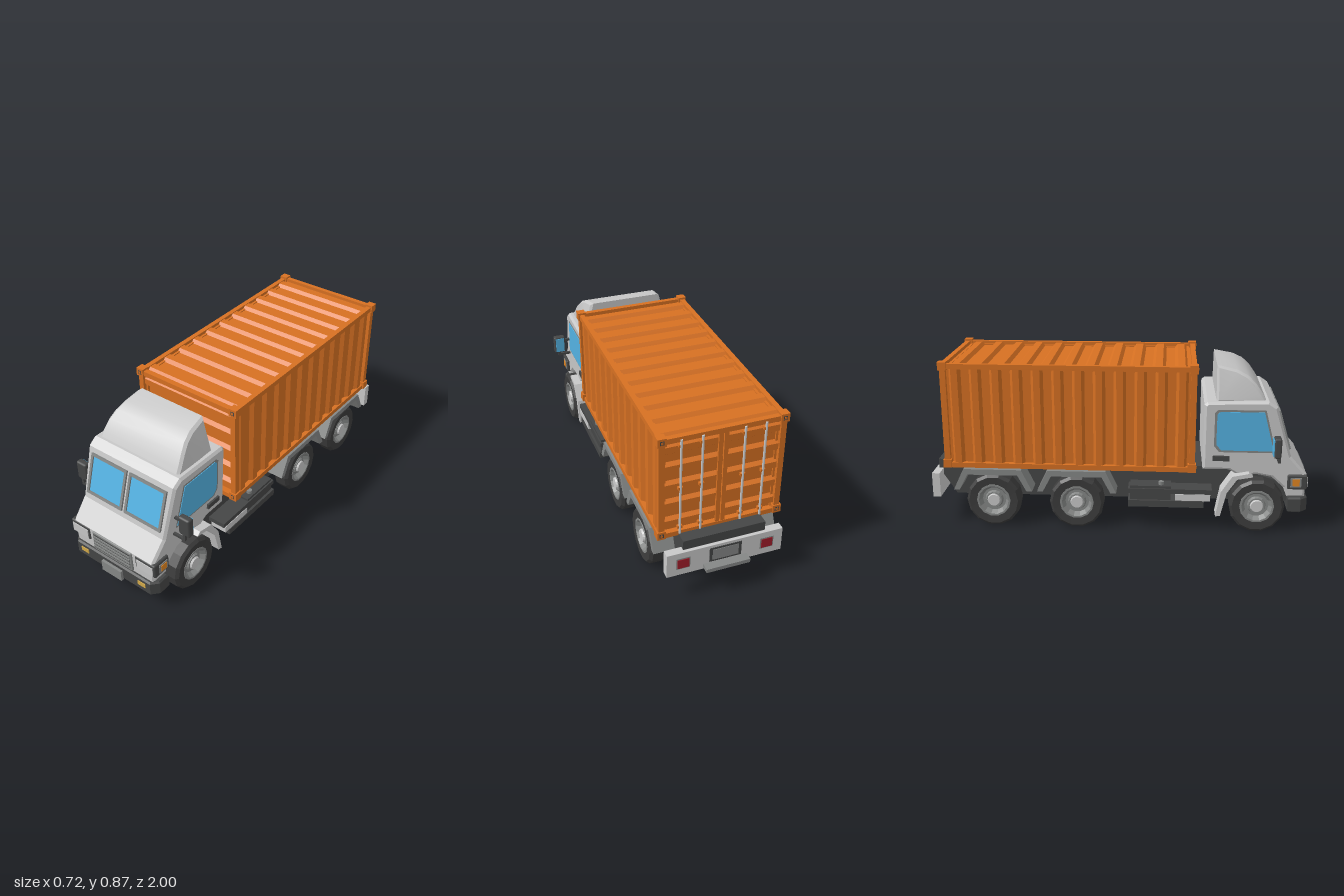
import * as THREE from 'three';
import { toCreasedNormals } from 'three/addons/utils/BufferGeometryUtils.js';
import { RoundedBoxGeometry } from 'three/addons/geometries/RoundedBoxGeometry.js';

const paint = (name, color) => Object.assign(new THREE.MeshStandardMaterial({ color }), { name });

export function createModel() {
  const orange = paint('containerOrange', 0xd67022), light = paint('cabGrey', 0xc8c8c8);
  const grey = paint('trimGrey', 0x858786), dark = paint('darkPlastic', 0x454646);
  const black = paint('tyreBlack', 0x3c3c3c), blue = paint('glassBlue', 0x55b4e4);
  const yellow = paint('fogYellow', 0xd2a94a), red = paint('tailRed', 0xa01c2a);
  const amber = paint('indicatorAmber', 0xe08522);

  const truck = new THREE.Group();
  truck.name = 'containerTruck';
  const add = (name, geo, mat, x = 0, y = 0, z = 0, parent = truck) => {
    const m = new THREE.Mesh(geo, mat);
    m.name = name;
    m.position.set(x, y, z);
    parent.add(m);
    return m;
  };
  const box = (name, mat, w, h, d, x, y, z, parent) => add(name, new THREE.BoxGeometry(w, h, d), mat, x, y, z, parent);
  const toShape = (pts) => new THREE.Shape(pts.map(([a, b]) => new THREE.Vector2(a, b)));
  const extrude = (shape, depth, bevel) => new THREE.ExtrudeGeometry(shape, {
    depth: depth - 2 * bevel, bevelEnabled: bevel > 0, bevelSize: bevel, bevelThickness: bevel,
    bevelOffset: -bevel, bevelSegments: 1 }).translate(0, 0, bevel);
  // Side profile in (z, y), extruded from x0 to x1
  const sideExtrude = (pts, x0, x1, bevel = 0) =>
    extrude(toShape(pts), x1 - x0, bevel).rotateY(-Math.PI / 2).translate(x1, 0, 0);
  // Plan outline in (x, z), extruded from y0 to y1
  const planExtrude = (pts, y0, y1, bevel = 0) =>
    extrude(toShape(pts.map(([x, z]) => [x, -z])), y1 - y0, bevel).rotateX(-Math.PI / 2).translate(0, y0, 0);
  // Scale x by a rule of height
  const taper = (geo, rule) => {
    const p = geo.attributes.position;
    for (let i = 0; i < p.count; i++) p.setX(i, p.getX(i) * rule(p.getY(i)));
    geo.computeVertexNormals();
    return geo;
  };
  // Corrugated outline as [along, out] points
  const corrugate = (a, b, n, lo, hi) => {
    const pts = [[a, lo]], p = (b - a) / n;
    for (let i = 0; i < n; i++) {
      const u = a + i * p;
      pts.push([u + 0.2 * p, lo], [u + 0.34 * p, hi], [u + 0.66 * p, hi], [u + 0.8 * p, lo]);
    }
    return [...pts, [b, lo], [b, lo - 0.015], [a, lo - 0.015]];
  };

  // Chassis
  add('chassis', sideExtrude([[0.93, 0.14], [0.93, 0.22], [0.6, 0.32], [-0.94, 0.33], [-0.94, 0.28], [-0.85, 0.14]], -0.205, 0.205), dark);

  // Wheels: tyre and dished rim turned about the axle
  const lathe = (pts) => toCreasedNormals(new THREE.LatheGeometry(pts.map(([r, h]) => new THREE.Vector2(r, h)), 14), 0.3);
  const tyreGeo = lathe([[0, -0.02], [0.085, -0.02], [0.09, -0.042], [0.128, -0.045], [0.142, -0.03],
    [0.142, 0.03], [0.128, 0.045], [0.088, 0.042], [0.082, 0.02]]);
  const rimGeo = lathe([[0.09, 0.038], [0.088, 0.044], [0.078, 0.044], [0.062, 0.018], [0.048, 0.018], [0.042, 0.034], [0, 0.034]]);
  const hubGeo = lathe([[0.036, 0.03], [0.03, 0.044], [0, 0.044]]);
  for (const z of [0.725, -0.2, -0.635]) {
    const axle = add('axle', new THREE.CylinderGeometry(0.025, 0.025, 0.44, 8), dark, 0, 0.142, z);
    axle.rotation.z = Math.PI / 2;
    for (const s of [-1, 1]) {
      const wheel = new THREE.Group();
      wheel.name = 'wheel';
      wheel.position.set(s * 0.26, 0.142, z);
      wheel.rotation.z = -s * Math.PI / 2;
      add('tyre', tyreGeo, black, 0, 0, 0, wheel);
      add('rim', rimGeo, grey, 0, 0, 0, wheel);
      add('hub', hubGeo, light, 0, 0, 0, wheel);
      truck.add(wheel);
    }
  }

  // Cab body and roof fairing
  const cabTaper = (y) => (0.255 + 0.018 * (y - 0.2) / 0.48) / 0.27;
  add('cab', taper(sideExtrude([[0.97, 0.18], [0.975, 0.305], [0.89, 0.4], [0.81, 0.66], [0.765, 0.69], [0.46, 0.682],
    [0.445, 0.667], [0.445, 0.322], [0.58, 0.322], [0.63, 0.29], [0.72, 0.3], [0.8, 0.285], [0.86, 0.23], [0.88, 0.18]],
    -0.27, 0.27, 0.012), cabTaper), light);
  add('roofFairing', toCreasedNormals(taper(sideExtrude([[0.505, 0.675], [0.76, 0.675], [0.735, 0.72], [0.7, 0.77], [0.66, 0.808],
    [0.605, 0.835], [0.505, 0.855]], -0.245, 0.245, 0.012), (y) => 1 - 0.19 * Math.max(0, (y - 0.68) / 0.17) ** 2), 0.5), light);

  // Windscreen: two framed panes leaning with the cab front
  const rect = (w, h) => toShape([[-w / 2, -h / 2], [w / 2, -h / 2], [w / 2, h / 2], [-w / 2, h / 2]]);
  for (const s of [-1, 1]) {
    const pane = new THREE.Group();
    pane.name = 'windscreenHalf';
    pane.position.set(s * 0.122, 0.533, 0.849);
    pane.rotation.x = -Math.atan(0.08 / 0.26);
    const frame = rect(0.228, 0.212);
    frame.holes.push(rect(0.202, 0.186));
    add('windscreenFrame', extrude(frame, 0.012, 0), grey, 0, 0, -0.002, pane);
    box('windscreenGlass', blue, 0.206, 0.19, 0.006, 0, 0, 0, pane);
    truck.add(pane);
  }

  // Grille, bumper and number plate
  add('grille', new RoundedBoxGeometry(0.256, 0.118, 0.03, 1, 0.008), grey, 0, 0.246, 0.967);
  for (let i = 0; i < 5; i++) {
    box('grilleGap', dark, 0.236, 0.005, 0.004, 0, 0.208 + i * 0.02, 0.982);
    if (i < 4) box('grilleSlat', grey, 0.236, 0.01, 0.008, 0, 0.218 + i * 0.02, 0.983);
  }
  add('frontBumper', planExtrude([[-0.272, 0.885], [0.272, 0.885], [0.272, 0.95], [0.24, 0.986], [-0.24, 0.986], [-0.272, 0.95]], 0.1, 0.182, 0.008), dark);
  box('frontPlate', grey, 0.128, 0.06, 0.016, 0, 0.127, 0.992);

  // Parts in left and right pairs
  const windowPts = [[0.8, 0.43], [0.745, 0.635], [0.525, 0.635], [0.51, 0.62], [0.51, 0.46], [0.535, 0.43]];
  const grow = windowPts.map(([z, y]) => [0.655 + (z - 0.655) * 1.08, 0.533 + (y - 0.533) * 1.1]);
  const arch = [[0.205, 0.2], [0.15, 0.315], [-0.15, 0.315], [-0.205, 0.2], [-0.175, 0.2], [-0.13, 0.285], [0.13, 0.285], [0.175, 0.2]];
  for (const s of [-1, 1]) {
    const span = (pts, a, b) => sideExtrude(pts, Math.min(s * a, s * b), Math.max(s * a, s * b));
    // Doors
    add('sideWindowFrame', taper(span(grow, 0.267, 0.272), cabTaper), grey);
    add('sideWindow', taper(span(windowPts, 0.268, 0.275), cabTaper), blue);
    box('doorHandle', dark, 0.014, 0.026, 0.085, s * 0.266, 0.387, 0.537);
    // Front lamps
    add('headlightHousing', new RoundedBoxGeometry(0.126, 0.078, 0.1, 1, 0.008), dark, s * 0.21, 0.266, 0.928);
    box('headlight', light, 0.1, 0.05, 0.008, s * 0.21, 0.264, 0.978);
    box('sideIndicatorFrame', grey, 0.006, 0.05, 0.055, s * 0.274, 0.267, 0.92);
    box('sideIndicator', amber, 0.008, 0.035, 0.036, s * 0.276, 0.267, 0.92);
    box('fogLamp', yellow, 0.048, 0.024, 0.008, s * 0.188, 0.147, 0.986);
    // Mirror on its bent arms
    add('mirror', new RoundedBoxGeometry(0.066, 0.105, 0.036, 1, 0.01), dark, s * 0.328, 0.473, 0.81);
    box('mirrorGlass', blue, 0.05, 0.085, 0.006, s * 0.328, 0.473, 0.791);
    box('mirrorUpperArm', dark, 0.06, 0.013, 0.013, s * 0.28, 0.493, 0.812);
    box('mirrorLowerArm', dark, 0.075, 0.013, 0.013, s * 0.297, 0.397, 0.822);
    box('mirrorPost', dark, 0.013, 0.04, 0.013, s * 0.328, 0.41, 0.822);
    // Mudguards
    add('frontMudguard', span([[0.7, 0.3], [0.62, 0.285], [0.57, 0.21], [0.54, 0.085], [0.515, 0.08], [0.54, 0.215], [0.595, 0.3], [0.68, 0.318]], 0.205, 0.3), light);
    for (const c of [-0.2, -0.635]) add('rearFender', span(arch.map(([z, y]) => [z + c, y]), 0.2, 0.312), grey);
    // Side step, tool box and filler cap
    box('sideStep', dark, 0.1, 0.035, 0.39, s * 0.255, 0.145, 0.26);
    box('stepPanel', light, 0.09, 0.035, 0.18, s * 0.258, 0.182, 0.397);
    box('sideRail', dark, 0.1, 0.025, 0.43, s * 0.25, 0.212, 0.28);
    box('toolBox', dark, 0.085, 0.075, 0.21, s * 0.25, 0.2, 0.18);
    add('fillerCap', new THREE.CylinderGeometry(0.014, 0.014, 0.02, 10), grey, s * 0.265, 0.245, 0.235);
    // Container side wall, posts and rails
    add('containerSide', planExtrude(corrugate(-0.86, 0.385, 12, 0.278, 0.296).map(([z, x]) => [s * x, z]), 0.335, 0.85), orange);
    for (const y of [0.333, 0.853]) box('sideBeam', orange, 0.026, 0.026, 1.28, s * 0.289, y, -0.2375);
    for (const z of [0.389, -0.865]) {
      box('cornerPost', orange, 0.028, 0.54, 0.03, s * 0.288, 0.593, z);
      for (const y of [0.342, 0.855]) {
        box('cornerBlock', orange, 0.042, 0.042, 0.042, s * 0.289, y, z);
        box('cornerSocket', dark, 0.02, 0.02, 0.003, s * 0.289, y, z + Math.sign(z) * 0.0205);
        box('cornerBoss', orange, 0.012, 0.012, 0.005, s * 0.289, y, z + Math.sign(z) * 0.021);
      }
    }
    // Door leaf edge and lock bars
    box('doorEdge', orange, 0.02, 0.51, 0.012, s * 0.013, 0.593, -0.872);
    for (const x of [0.1, 0.2]) {
      add('lockBar', new THREE.CylinderGeometry(0.006, 0.006, 0.52, 8), light, s * x, 0.593, -0.882);
      for (const y of [0.37, 0.59, 0.82]) box('lockBracket', orange, 0.024, 0.014, 0.018, s * x, y, -0.876);
    }
    box('tailLamp', red, 0.056, 0.05, 0.008, s * 0.21, 0.218, -0.959);
    box('tailLampFrame', grey, 0.068, 0.062, 0.004, s * 0.21, 0.218, -0.958);
  }

  // Container roof, floor and end walls
  add('containerRoof', sideExtrude(corrugate(-0.86, 0.385, 11, 0.845, 0.862), -0.28, 0.28), orange);
  box('containerFloor', orange, 0.56, 0.02, 1.26, 0, 0.335, -0.2375);
  add('containerFront', sideExtrude(corrugate(0.34, 0.85, 5, 0.372, 0.392).map(([y, z]) => [z, y]), -0.28, 0.28), orange);
  add('containerDoors', sideExtrude(corrugate(0.34, 0.85, 5, 0.852, 0.87).map(([y, z]) => [-z, y]), -0.28, 0.28), orange);
  for (const z of [0.391, -0.867]) for (const y of [0.333, 0.853]) box('endBeam', orange, 0.56, 0.026, 0.026, 0, y, z);

  // Rear bumper, plate and step
  box('rearBumper', light, 0.58, 0.13, 0.04, 0, 0.215, -0.937);
  box('rearPlateFrame', dark, 0.16, 0.08, 0.004, 0, 0.225, -0.958);
  box('rearPlate', grey, 0.13, 0.06, 0.006, 0, 0.225, -0.959);
  box('rearStep', grey, 0.22, 0.02, 0.05, 0, 0.17, -0.975);

  return truck;
}
